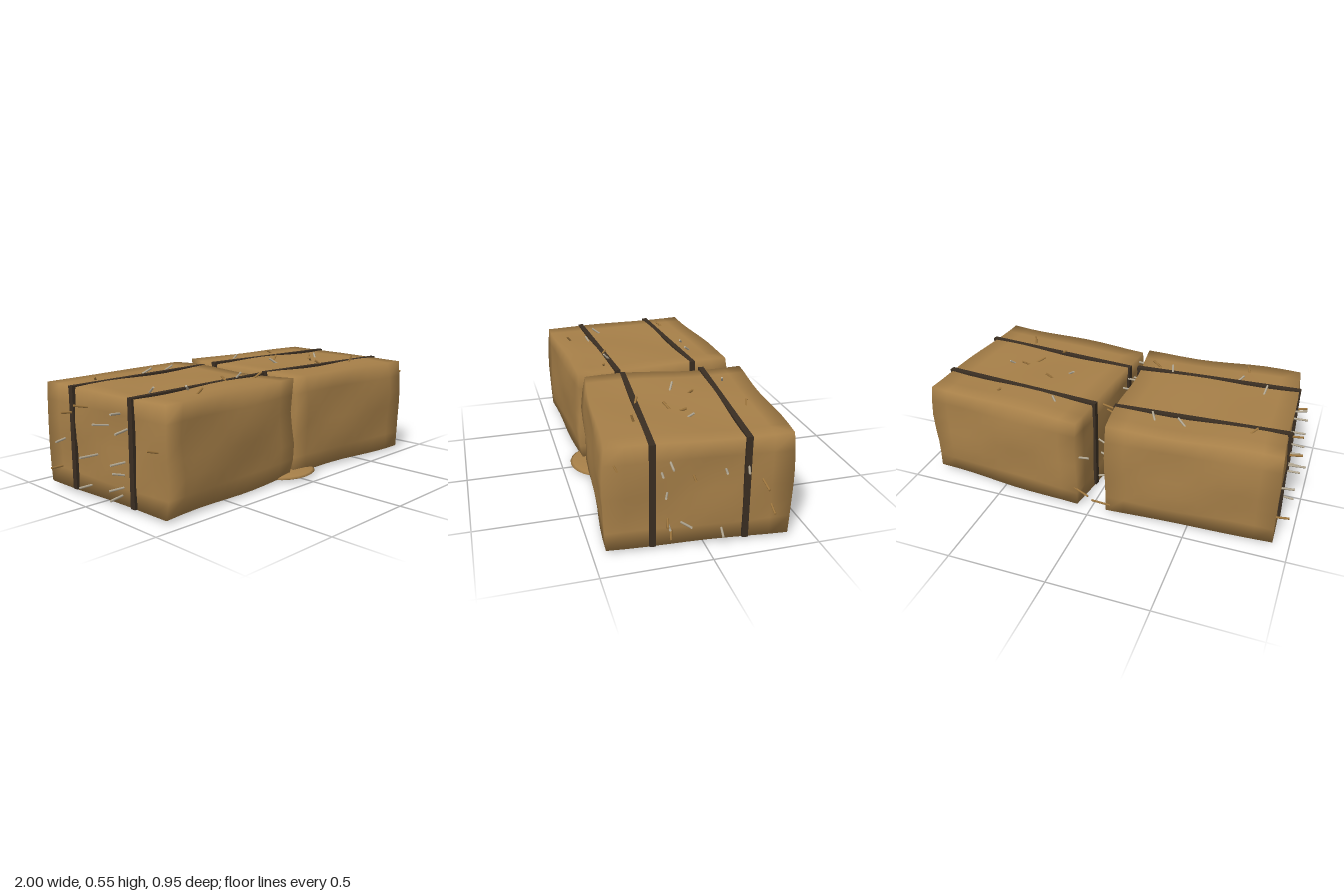
import * as THREE from 'three';
import { mergeVertices } from 'three/addons/utils/BufferGeometryUtils.js';

const material = (name, color) => {
  const m = new THREE.MeshStandardMaterial({ color });
  m.name = name;
  return m;
};

export function createModel() {
  const hay = material('hay', 0xa67f48);
  const twine = material('dark twine', 0x3a2e22);
  const paleStraw = material('pale straw', 0xb5aa94);
  const brownStraw = material('brown straw', 0xa0783f);

  let seed = 7;
  const rand = (a, b) => {
    seed = (seed * 16807) % 2147483647;
    return a + (b - a) * (seed / 2147483647);
  };

  const W = 0.84, H = 0.495, D = 0.84;
  const group = new THREE.Group();
  group.name = 'hayBales';

  const add = (parent, name, geometry, mat, x, y, z) => {
    const mesh = new THREE.Mesh(geometry, mat);
    mesh.name = name;
    mesh.position.set(x, y, z);
    parent.add(mesh);
    return mesh;
  };

  // Lumpy block with shared vertices, so the shading rolls over its edges
  const baleGeometry = (phase) => {
    let g = new THREE.BoxGeometry(W, H, D, 9, 6, 9);
    g.deleteAttribute('normal');
    g.deleteAttribute('uv');
    g = mergeVertices(g);
    const p = g.attributes.position;
    for (let i = 0; i < p.count; i++) {
      const x = p.getX(i), y = p.getY(i), z = p.getZ(i);
      const wave = (a, b) => Math.sin(a * 9 + phase) * Math.cos(b * 8 - phase * 2);
      const bulge = 0.012 * (1 - (2 * y / H) ** 2);
      p.setXYZ(i,
        x + 0.008 * wave(z, y * 2),
        y + 0.006 * wave(x, z),
        z + Math.sign(z) * (Math.abs(z) > 0.41 ? bulge - 0.006 : 0) + 0.008 * wave(x, y * 2));
    }
    g.computeVertexNormals();
    return g;
  };

  // One straw pushed into the surface at a point, along a direction
  const stalkGeometry = new THREE.CylinderGeometry(0.0055, 0.0055, 1, 6);
  const up = new THREE.Vector3(0, 1, 0);
  const stalk = (parent, x, y, z, direction, length) => {
    const mat = rand(0, 1) < 0.65 ? paleStraw : brownStraw;
    const mesh = add(parent, 'straw', stalkGeometry, mat, x, y, z);
    mesh.quaternion.setFromUnitVectors(up, direction.normalize());
    mesh.scale.y = length;
  };

  // Straw heights and depths on the bale ends
  const endSpots = [[0.37, 0.43], [0.17, 0.38], [0.13, 0.42], [0.03, 0.35], [-0.11, 0.37],
    [-0.21, 0.375], [-0.285, 0.295], [0.15, 0.28], [0.145, 0.14], [0.14, 0.12],
    [0.13, 0.085], [-0.1, 0.07], [-0.33, 0.16]];

  const makeBale = (name, x, angle, phase, topSpots) => {
    const bale = new THREE.Group();
    bale.name = name;
    bale.position.set(x, 0, -0.01);
    bale.rotation.y = angle;
    group.add(bale);
    add(bale, 'baleBody', baleGeometry(phase), hay, 0, 0.015 + H / 2, 0);

    // Twine over the top and down both ends
    for (const z of [-0.21, 0.21]) {
      add(bale, 'topTwine', new THREE.BoxGeometry(W + 0.03, 0.016, 0.028), twine, 0, 0.508, z);
      for (const s of [-1, 1])
        add(bale, 'endTwine', new THREE.BoxGeometry(0.016, 0.495, 0.028), twine, s * (W / 2 + 0.006), 0.266, z);
    }

    // Straw sticking out of the ends
    for (const s of [-1, 1])
      for (const [z, y] of endSpots) {
        const outer = s === Math.sign(x);
        const pz = outer ? z : z + rand(-0.1, 0.06);
        const py = outer && s > 0 ? y : THREE.MathUtils.clamp(y + rand(-0.12, 0.08), 0.06, 0.47);
        stalk(bale, s * (W / 2 + 0.022), py, pz,
          new THREE.Vector3(s, rand(-0.3, 0.35), rand(-0.3, 0.3)), rand(0.07, 0.11));
      }

    // Straw on top
    for (const [wx, wz] of topSpots)
      stalk(bale, wx - x, 0.515, wz + 0.01,
        new THREE.Vector3(rand(-1, 1), 0.6, rand(-1, 1)), rand(0.045, 0.08));
  };

  makeBale('rightBale', -0.48, 0.05, 0.6, [[-0.73, -0.27], [-0.4, -0.28], [-0.26, -0.27],
    [-0.74, 0.14], [-0.63, 0.33], [-0.33, 0.21], [-0.15, 0.25], [-0.6, 0.23], [-0.24, 0.2]]);
  makeBale('leftBale', 0.45, -0.085, 2.3, [[0.35, -0.08], [0.28, 0], [0.53, -0.31], [0.55, 0],
    [0.62, -0.02], [0.5, 0.06], [0.43, 0.2], [0.63, 0.24], [0.22, -0.28]]);

  // Low heap of loose hay between the bales
  const heap = add(group, 'looseHay', new THREE.SphereGeometry(1, 24, 8), hay, 0, 0.018, 0.29);
  heap.scale.set(0.18, 0.018, 0.165);

  // Two long stalks that reach the full width
  stalk(group, 0.945, 0.16, 0.11, new THREE.Vector3(1, 0.35, -0.1), 0.115);
  stalk(group, -0.95, 0.22, -0.03, new THREE.Vector3(-1, 0.04, 0.05), 0.1);
  return group;
}
